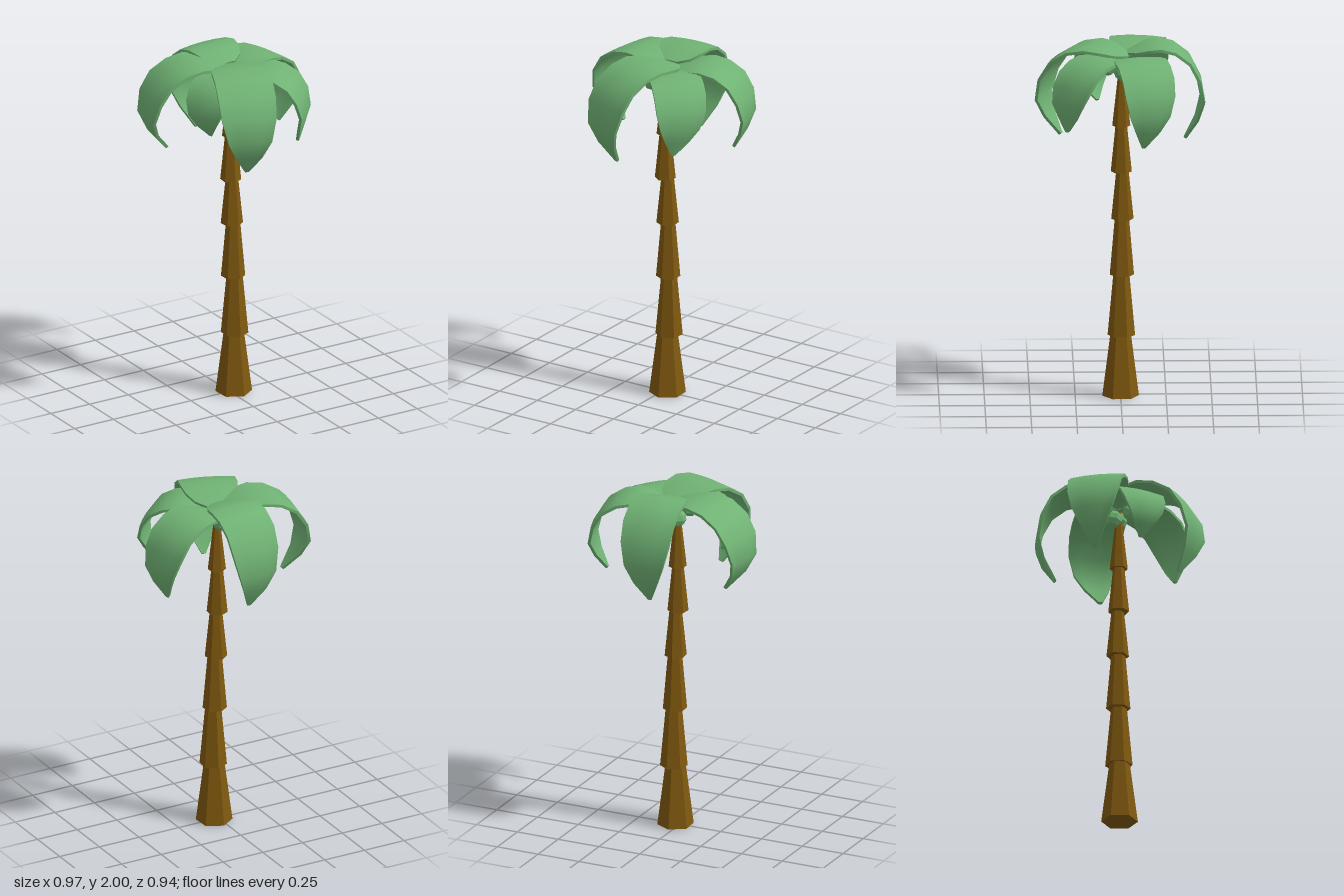
import * as THREE from 'three';
import { toCreasedNormals } from 'three/addons/utils/BufferGeometryUtils.js';

const bark = new THREE.MeshStandardMaterial({ color: 0x80590f, flatShading: true });
const leaf = new THREE.MeshStandardMaterial({ color: 0x70b274 });
const husk = new THREE.MeshStandardMaterial({ color: 0x70b274, flatShading: true });

// Frond stations: [outward fraction of reach, drop fraction, half-width fraction]
const STATIONS = [
  [0, 0.09, 0.25], [0.1, 0.06, 0.66], [0.25, 0.02, 0.9], [0.42, 0, 1], [0.62, 0.04, 1],
  [0.82, 0.16, 1], [0.95, 0.36, 0.95], [1, 0.6, 0.76], [0.92, 0.8, 0.46], [0.76, 1, 0.07],
];

// Arched blade with thickness, growing along local +x; tuck and lean move the tip out and sideways
function frondGeometry(reach, top, tip, halfWidth, tuck, lean) {
  const across = [-1, -0.5, 0, 0.5, 1], n = across.length * 2, thick = 0.016;
  const spine = STATIONS.map(([u, v]) =>
    new THREE.Vector2((u + tuck * v ** 6) * reach, top - v * (top - tip)));
  const pos = [], index = [];
  spine.forEach((p, i) => {
    const a = spine[Math.max(i - 1, 0)], b = spine[Math.min(i + 1, spine.length - 1)];
    const t = b.clone().sub(a).normalize();
    const [, v, width] = STATIONS[i];
    const put = (s, depth) => {
      const d = depth + 0.009 * s * s * width;
      pos.push(p.x + t.y * d, p.y - t.x * d, s * width * halfWidth + lean * v * v);
    };
    across.forEach(s => put(s, 0));
    across.forEach(s => put(-s, thick));
  });
  const last = (spine.length - 1) * n;
  for (let i = 0; i < spine.length - 1; i++) {
    for (let j = 0; j < n; j++) {
      const k = (j + 1) % n;
      const a = i * n + j, b = i * n + k, c = b + n, d = a + n;
      index.push(a, b, c, a, c, d);
    }
  }
  // end caps, paired top to bottom
  for (let j = 0; j < across.length - 1; j++) {
    const k = n - 1 - j;
    index.push(j, k, k - 1, j, k - 1, j + 1);
    index.push(last + j, last + j + 1, last + k - 1, last + j, last + k - 1, last + k);
  }
  const g = new THREE.BufferGeometry();
  g.setAttribute('position', new THREE.Float32BufferAttribute(pos, 3));
  g.setIndex(index);
  return toCreasedNormals(g, 0.9);
}

export function createModel() {
  const model = new THREE.Group();
  model.name = 'palmTree';

  // Trunk: stacked tapering hexagonal sections [y0, y1, bottom r, top r, x, z, turn]
  const trunk = new THREE.Group();
  trunk.name = 'trunk';
  [
    [0, 0.355, 0.101, 0.056, 0.027, 0, 0.06],
    [0.345, 0.695, 0.076, 0.044, 0.035, -0.004, -0.1],
    [0.685, 1.01, 0.067, 0.039, 0.027, -0.007, 0.05],
    [1.0, 1.275, 0.062, 0.034, 0.021, -0.01, 0.1],
    [1.265, 1.535, 0.058, 0.031, 0.01, -0.004, -0.08],
    [1.525, 1.87, 0.05, 0.012, 0.012, -0.004, 0.05],
  ].forEach(([y0, y1, rb, rt, x, z, turn], i) => {
    const m = new THREE.Mesh(new THREE.CylinderGeometry(rt, rb, y1 - y0, 6), bark);
    m.name = `trunkSection${i + 1}`;
    m.position.set(x, (y0 + y1) / 2, z);
    m.rotation.y = turn;
    trunk.add(m);
  });
  model.add(trunk);

  // Fronds: [name, base x, base z, direction x, direction z, reach, top y, tip y, half width, tuck, lean]
  const fronds = new THREE.Group();
  fronds.name = 'fronds';
  [
    ['frontFrond', 0.05, -0.05, -0.35, 0.94, 0.518, 1.985, 1.45, 0.16, 0.03, 0],
    ['backFrond', 0.024, -0.035, -0.05, -1, 0.43, 2.0, 1.45, 0.15, 0, 0],
    ['leftFrond', 0.04, -0.06, 0.967, -0.255, 0.44, 1.955, 1.49, 0.147, 0.05, 0.03],
    ['rightFrond', 0.02, -0.06, -0.986, -0.15, 0.495, 1.985, 1.49, 0.15, -0.02, 0],
    ['frontLeftFrond', 0.03, 0.0, 0.71, 0.7, 0.415, 1.945, 1.55, 0.145, 0.15, 0.05],
    ['frontRightFrond', 0.03, 0.01, -0.89, 0.45, 0.34, 1.945, 1.615, 0.13, 0, 0],
  ].forEach(([name, x, z, dx, dz, ...shape]) => {
    const m = new THREE.Mesh(frondGeometry(...shape), leaf);
    m.name = name;
    m.position.set(x, 0, z);
    m.rotation.y = Math.atan2(-dz, dx);
    fronds.add(m);
  });
  model.add(fronds);

  // Coconuts clustered under the crown
  const coconuts = new THREE.Group();
  coconuts.name = 'coconuts';
  [[0.09, 1.85, -0.01], [-0.025, 1.85, 0.07], [0.0, 1.82, -0.03]].forEach(([x, y, z], i) => {
    const m = new THREE.Mesh(new THREE.SphereGeometry(0.05, 7, 5), husk);
    m.name = `coconut${i + 1}`;
    m.position.set(x, y, z);
    m.rotation.set(0.4, i * 2, 0.3);
    coconuts.add(m);
  });
  model.add(coconuts);

  return model;
}
